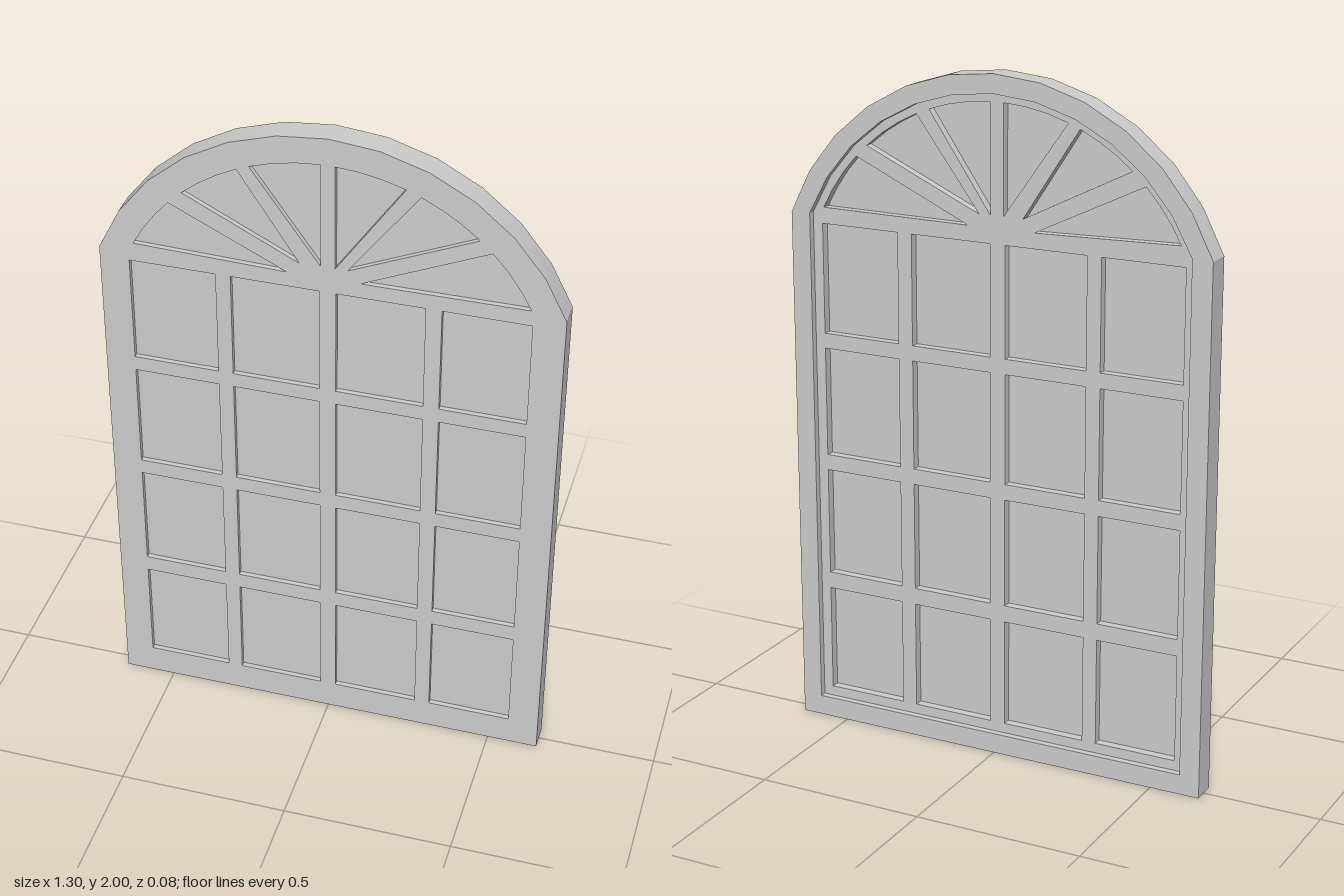
import * as THREE from 'three';
import { toCreasedNormals } from 'three/addons/utils/BufferGeometryUtils.js';

const ARC_Y = 1.303; // centre height of every arch curve
const V = (x, y) => new THREE.Vector2(x, y);

// Points on an arc about (0, ARC_Y), from angle a to b, both measured from straight up
function arc(r, a, b, n) {
  return Array.from({ length: n + 1 }, (_, i) => {
    const t = a + ((b - a) * i) / n;
    return V(r * Math.sin(t), ARC_Y + r * Math.cos(t));
  });
}

// Round-topped outline with half width w, bottom y0 and arch radius r
function archOutline(w, y0, r) {
  const a = Math.asin(w / r);
  return [V(-w, y0), V(w, y0), ...arc(r, a, -a, 12)];
}

function rect(x0, x1, y0, y1) {
  return [V(x0, y0), V(x1, y0), V(x1, y1), V(x0, y1)];
}

// Fan light: a hub corner and two corners on the inner arch, given by their x
function fanPane(hubX, hubY, x0, x1) {
  const r = 0.617;
  return [V(hubX, hubY), ...arc(r, Math.asin(x0 / r), Math.asin(x1 / r), 3)];
}

function slab(name, points, holes, z0, z1, material) {
  const shape = new THREE.Shape(points);
  shape.holes = holes.map((h) => new THREE.Path(h));
  const geo = new THREE.ExtrudeGeometry(shape, { depth: z1 - z0, bevelEnabled: false });
  geo.translate(0, 0, z0);
  const mesh = new THREE.Mesh(toCreasedNormals(geo, 0.3), material);
  mesh.name = name;
  return mesh;
}

export function createModel() {
  const group = new THREE.Group();
  group.name = 'archedWindow';
  const material = new THREE.MeshStandardMaterial({ color: 0xcccccc });

  // Four by four grid of square panes
  const columns = [[-0.565, -0.318], [-0.275, -0.025], [0.022, 0.27], [0.315, 0.56]];
  const rows = [[0.09, 0.41], [0.46, 0.783], [0.83, 1.155], [1.2, 1.525]];
  const panes = [];
  for (const [y0, y1] of rows) {
    for (const [x0, x1] of columns) panes.push(rect(x0, x1, y0, y1));
  }

  // Six fan panes radiating from the middle of the crossbar
  panes.push(
    fanPane(-0.115, 1.57, -0.55, -0.445),
    fanPane(-0.08, 1.605, -0.405, -0.25),
    fanPane(-0.02, 1.605, -0.215, -0.02),
    fanPane(0.02, 1.605, 0.02, 0.21),
    fanPane(0.055, 1.605, 0.25, 0.41),
    fanPane(0.09, 1.57, 0.445, 0.555)
  );

  // Front plate with glazing bars, and the raised rim around the back
  const outline = archOutline(0.65, 0, 0.697);
  const opening = archOutline(0.59, 0.06, 0.642);
  group.add(slab('frameWithGlazingBars', outline, panes, -0.018, 0.037, material));
  group.add(slab('backRim', outline, [opening], -0.038, -0.018, material));

  // Glass set between the front and back of the bars
  const glass = new THREE.Group();
  glass.name = 'glassPanes';
  panes.forEach((p, i) => glass.add(slab(`glassPane${i + 1}`, p, [], 0.008, 0.022, material)));
  group.add(glass);
  return group;
}
